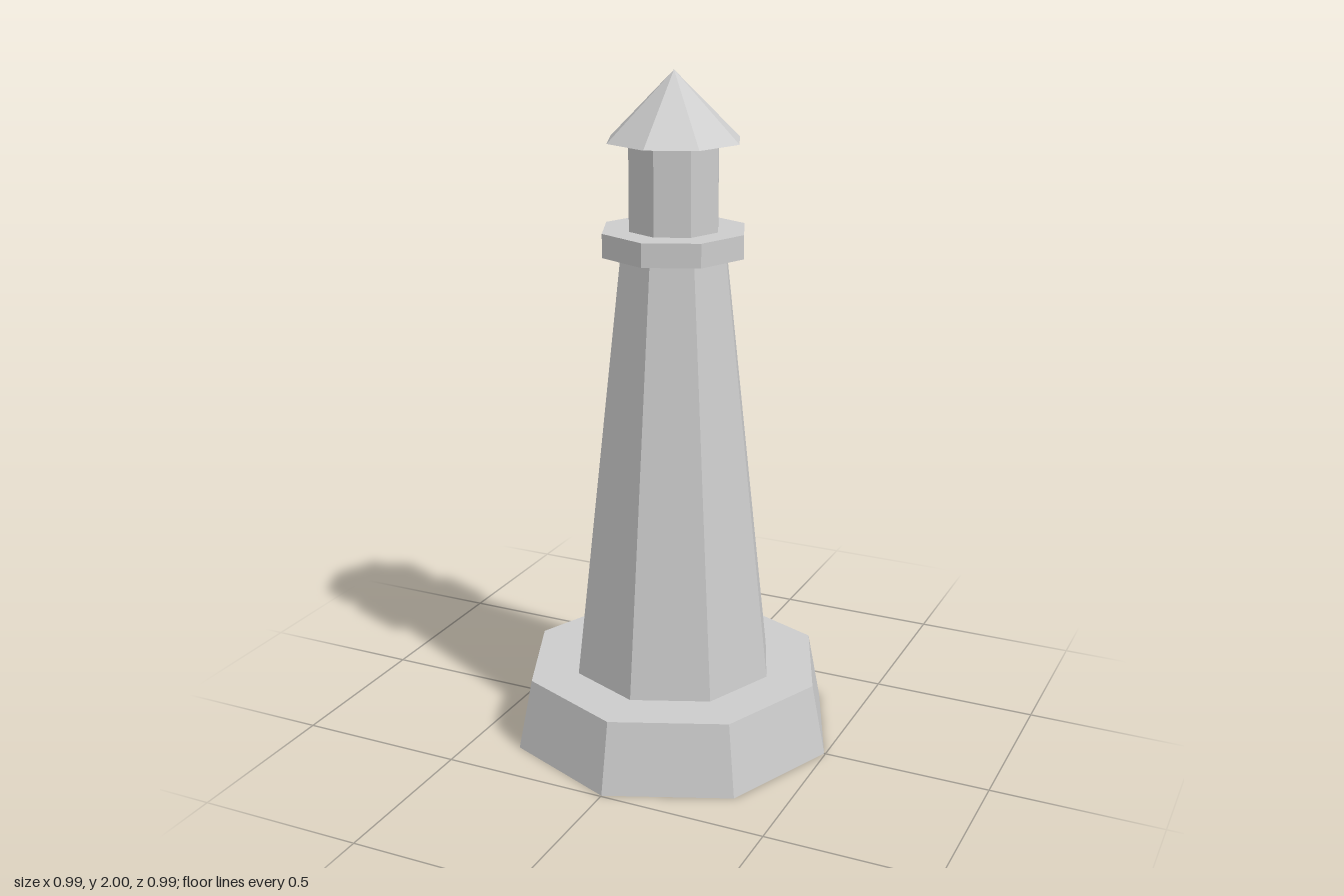
import * as THREE from 'three';

export function createModel() {
  const model = new THREE.Group();
  model.name = 'lighthouse';

  const stone = new THREE.MeshStandardMaterial({ color: 0xcccccc, flatShading: true });
  stone.name = 'pale grey stone';

  // Every part is an eight-sided ring stacked on the one below, corners on the axes
  const addTier = (name, bottomRadius, topRadius, bottom, top) => {
    const height = top - bottom;
    const geometry = topRadius > 0
      ? new THREE.CylinderGeometry(topRadius, bottomRadius, height, 8)
      : new THREE.ConeGeometry(bottomRadius, height, 8);
    const mesh = new THREE.Mesh(geometry, stone);
    mesh.name = name;
    mesh.position.y = bottom + height / 2;
    model.add(mesh);
  };

  addTier('base', 0.496, 0.453, 0, 0.215);
  addTier('tower', 0.306, 0.161, 0.215, 1.487);
  addTier('gallery', 0.215, 0.215, 1.487, 1.556);
  addTier('lanternRoom', 0.135, 0.135, 1.556, 1.806);
  addTier('roof', 0.198, 0, 1.806, 2);

  return model;
}
